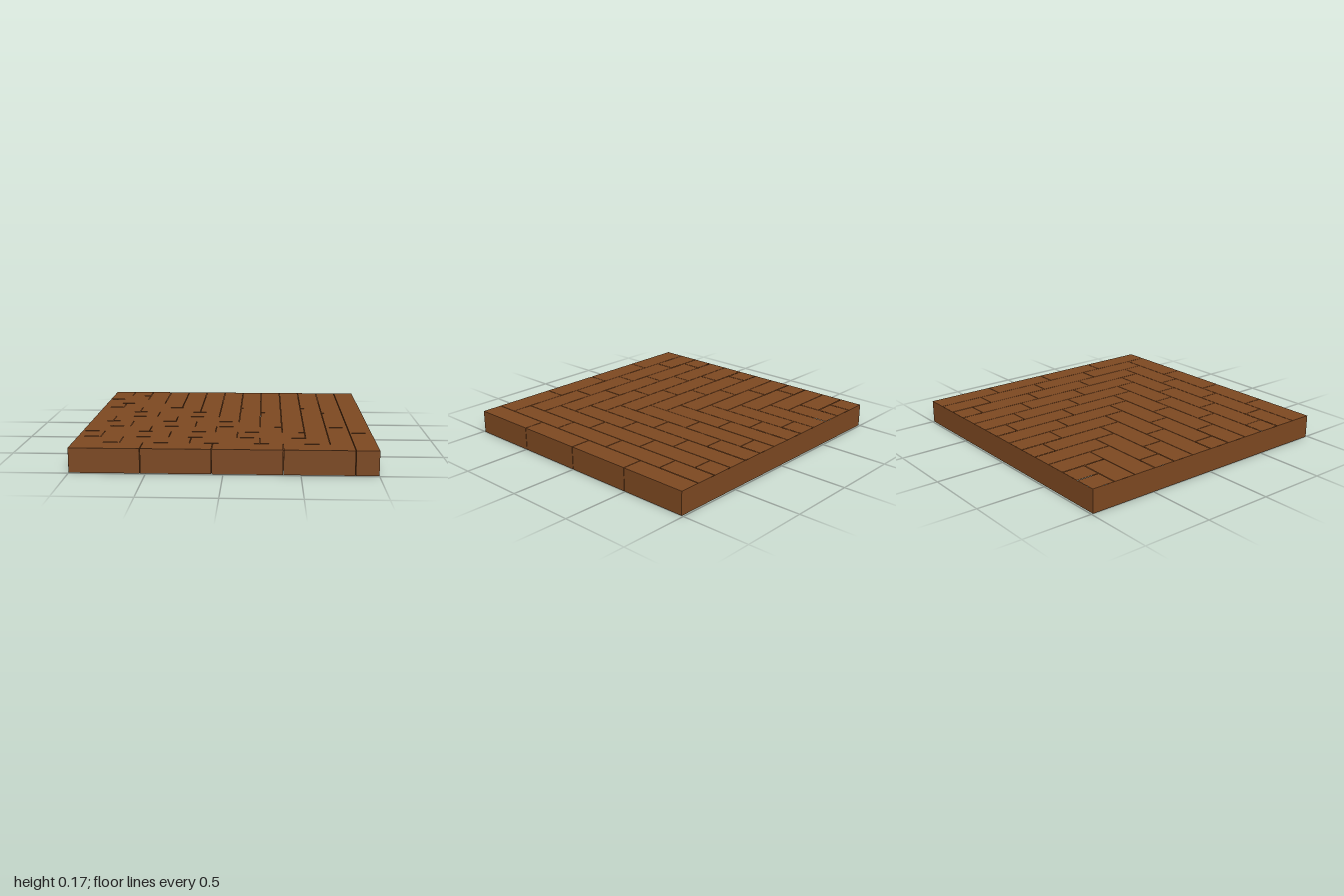
import * as THREE from 'three';

const COLS = 13, ROWS = 12;      // paving grid, each brick is 1 x 3 cells
const WIDTH = 2, DEPTH = 1.974, HEIGHT = 0.165, GAP = 0.004;
const CELL_X = WIDTH / COLS, CELL_Z = DEPTH / ROWS;

export function createModel() {
  const group = new THREE.Group();
  group.name = 'herringbonePaving';
  const brick = new THREE.MeshStandardMaterial({ color: 0x7c4821, side: THREE.DoubleSide });
  brick.name = 'brick brown';

  function add(name, geometry, x, y, z) {
    const mesh = new THREE.Mesh(geometry, brick);
    mesh.name = name;
    mesh.position.set(x, y, z);
    group.add(mesh);
  }

  // One brick covering cells c0..c1 and r0..r1; joints lie on its low x and z sides.
  // Bricks trimmed by the back or left edge are open underneath, leaving only a top face.
  function addBrick(c0, c1, r0, r1) {
    const trimmed = c0 < 0 || r0 < 0;
    const x0 = -WIDTH / 2 + Math.max(c0, 0) * CELL_X + (c0 > 0 ? GAP : 0);
    const z0 = -DEPTH / 2 + Math.max(r0, 0) * CELL_Z + (r0 > 0 ? GAP : 0);
    const x1 = -WIDTH / 2 + (c1 + 1) * CELL_X;
    const z1 = -DEPTH / 2 + (r1 + 1) * CELL_Z;
    const w = x1 - x0, d = z1 - z0, x = (x0 + x1) / 2, z = (z0 + z1) / 2;
    if (trimmed) {
      add('trimmedBrickTop', new THREE.PlaneGeometry(w, d).rotateX(-Math.PI / 2), x, HEIGHT, z);
    } else {
      add('brick', new THREE.BoxGeometry(w, HEIGHT, d), x, HEIGHT / 2, z);
    }
  }

  // Crosswise bricks step one cell right per row, running to the left edge
  for (let r = 0; r < ROWS; r++) {
    for (let end = r; end >= 0; end -= 3) addBrick(end - 2, end, r, r);
  }
  // Lengthwise bricks fill each column from the diagonal to the back edge
  for (let c = 1; c < COLS; c++) {
    for (let end = c - 1; end >= 0; end -= 3) addBrick(c, c, end - 2, end);
  }

  // Plain cut faces closing the back and the -x side
  add('backCutFace', new THREE.PlaneGeometry(WIDTH, HEIGHT).rotateY(Math.PI),
    0, HEIGHT / 2, -DEPTH / 2 - 0.0005);
  add('sideCutFace', new THREE.PlaneGeometry(DEPTH, HEIGHT).rotateY(-Math.PI / 2),
    -WIDTH / 2 - 0.0005, HEIGHT / 2, 0);

  return group;
}
